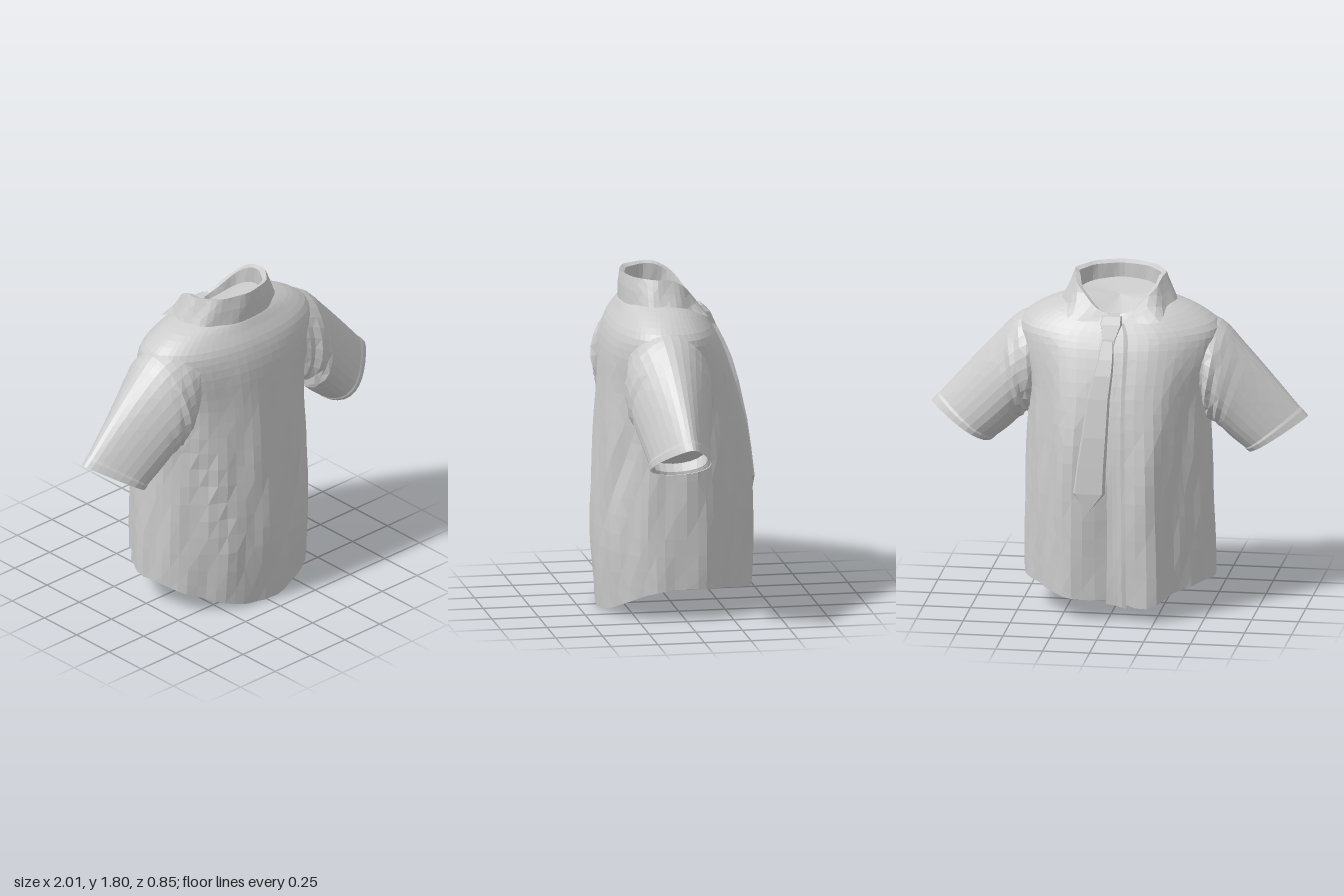
import * as THREE from 'three';

const TAU = Math.PI * 2;
const lerp = THREE.MathUtils.lerp;
const bump = (x, c, w) => Math.exp(-(((x - c) / w) ** 2));
const cloth = new THREE.MeshStandardMaterial({ color: 0xcccccc, flatShading: true, side: THREE.DoubleSide });

// Surface from f(u, v) -> [x, y, z] with u and v in 0..1
function grid(f, nu, nv, flip = false) {
  const pos = [], idx = [];
  for (let j = 0; j <= nv; j++)
    for (let i = 0; i <= nu; i++) pos.push(...f(i / nu, j / nv));
  for (let j = 0; j < nv; j++)
    for (let i = 0; i < nu; i++) {
      const a = j * (nu + 1) + i, b = a + 1, c = a + nu + 1, d = c + 1;
      // alternate the diagonals for a crumpled look
      const q = (i + j) % 2 ? [a, b, d, a, d, c] : [a, b, c, b, d, c];
      idx.push(...(flip ? q.reverse() : q));
    }
  const g = new THREE.BufferGeometry();
  g.setAttribute('position', new THREE.Float32BufferAttribute(pos, 3));
  g.setIndex(idx);
  g.computeVertexNormals();
  return g;
}

// Smooth interpolation between rows of section numbers
function sample(rows, v) {
  const s = v * (rows.length - 1), k = Math.min(Math.floor(s), rows.length - 2), t = s - k;
  const at = (i) => rows[Math.max(0, Math.min(rows.length - 1, i))];
  return rows[k].map((_, n) => {
    const [a, b, c, d] = [at(k - 1)[n], at(k)[n], at(k + 1)[n], at(k + 2)[n]];
    return b + 0.5 * t * (c - a + t * (2 * a - 5 * b + 4 * c - d + t * (3 * (b - c) + d - a)));
  });
}

// Body section: half width, centre z, back z, chest z, then y at the side, back and chest
function section([w, c, zb, zf, ys, yb, yf], t, p = 1) {
  const co = Math.cos(t), si = Math.sin(t);
  return [
    w * Math.sign(si) * Math.abs(si) ** p,
    lerp(ys, co > 0 ? yb : yf, co * co),
    c + Math.sign(co) * Math.abs(co) ** p * (co > 0 ? zb - c : c - zf),
  ];
}

const bodyRows = [
  [0.505, 0.0, 0.395, -0.395, 0.17, 0.0, 0.11],
  [0.505, 0.0, 0.42, -0.4, 0.35, 0.35, 0.35],
  [0.5, 0.0, 0.415, -0.4, 0.65, 0.65, 0.65],
  [0.49, 0.0, 0.4, -0.375, 0.95, 0.95, 0.95],
  [0.485, 0.03, 0.385, -0.33, 1.2, 1.2, 1.2],
  [0.53, 0.07, 0.37, -0.265, 1.4, 1.4, 1.4],
  [0.535, 0.08, 0.34, -0.215, 1.52, 1.52, 1.5],
  [0.43, 0.08, 0.295, -0.175, 1.605, 1.6, 1.56],
  [0.31, 0.07, 0.265, -0.155, 1.655, 1.65, 1.58],
  [0.23, 0.07, 0.24, -0.13, 1.675, 1.66, 1.58],
];

// Torso skin with chest lobes and drape folds; off pushes it outwards
function body(t, v, off = 0) {
  const co = Math.cos(t), si = Math.sin(t);
  // the right side of the back is pulled in more than the left
  const p = lerp(co > 0 && si < 0 ? 1.12 : 0.82, 1, v * v);
  const [x, y, z] = section(sample(bodyRows, v), t, p);
  const ax = Math.abs(x), front = Math.max(0, -co) ** 0.5;
  const amt = y < 0.8 ? 1 : bump(y, 0.8, 0.45);
  const dent = x < 0 ? 0.075 * bump(x, -0.42, 0.12) : 0.045 * bump(x, 0.41, 0.1);
  const lobes = 0.028 * bump(ax, 0.22, 0.08) - dent - 0.03 * bump(x, -0.01, 0.07);
  const crease = bump(ax, 0.15 + 0.36 * (y - 0.3), 0.05) * 0.02 * bump(y, 0.7, 0.35);
  const drape = 0.006 * Math.sin(t * 11 + y * 3) + 0.003 * Math.sin(t * 17 - y * 9);
  const d = off + amt * (drape + (co < 0 ? lobes * front : -crease));
  // one chest panel hangs lower at the hem
  const drop = 0.04 * bump(x, -0.17, 0.11) * front * (1 - v) ** 14;
  return [x + si * d - 0.012 * (1 - v), y - drop, z + co * d];
}

// Sleeve section: top x and y, bottom x and y, centre z, half depth
const sleeveRows = [
  [0.36, 1.6, 0.4, 1.06, 0.1, 0.2],
  [0.535, 1.54, 0.46, 1.02, 0.1, 0.228],
  [0.66, 1.42, 0.53, 0.97, 0.1, 0.205],
  [0.83, 1.235, 0.6, 0.905, 0.1, 0.17],
  [1.0, 1.04, 0.685, 0.84, 0.1, 0.14],
];
function sleeve(side, t, v, off = 0) {
  const [tx, ty, bx, by, zc, hz] = sample(sleeveRows, v);
  const co = Math.cos(t), si = Math.sin(t), k = 0.5 + 0.5 * co;
  // bunched folds around the armhole, strongest under the arm
  const d = off + 0.02 * bump(v, 0.25, 0.2) * (1 - k) * Math.sin(v * 40 + 5 * Math.abs(si) + side);
  return [
    side * (lerp(bx, tx, k) + co * d * 0.6),
    lerp(by, ty, k) + co * d * 0.5,
    zc - 0.04 * k * v + (hz + d) * si * (1 - 0.5 * v * co),
  ];
}

// Collar: stand inside, fold on top, fall outside
const collarRows = [
  [0.22, 0.07, 0.235, -0.11, 1.66, 1.66, 1.565],
  [0.215, 0.07, 0.24, -0.12, 1.78, 1.785, 1.6],
  [0.242, 0.07, 0.265, -0.14, 1.79, 1.8, 1.61],
  [0.272, 0.07, 0.272, -0.16, 1.72, 1.73, 1.585],
  [0.303, 0.07, 0.272, -0.175, 1.655, 1.645, 1.57],
];
function collar(u, v) {
  const t = lerp(-0.96, 0.96, u) * Math.PI;
  const s = v * 4, k = Math.min(3, Math.floor(s));
  const row = collarRows[k].map((a, n) => lerp(a, collarRows[k + 1][n], s - k));
  const [x, y, z] = section(row, t);
  // pointed tips of the fall
  const tip = bump(Math.abs(t), 0.8 * Math.PI, 0.24) * Math.max(0, v - 0.5) * 2;
  const wave = 0.005 * Math.sin(t * 9 + v * 4);
  return [x * (1 + 0.3 * tip) + Math.sin(t) * wave, y - 0.02 * tip, z - 0.035 * tip + Math.cos(t) * wave * 0.5];
}

// Flat strip from sections: centre x, y, z, half width, thickness
function strip(rows) {
  const corners = [[-1, 0], [-0.85, -1], [0.85, -1], [1, 0], [-1, 0]];
  return grid((u, v) => {
    const [x, y, z, w, th] = rows[Math.round(v * (rows.length - 1))];
    const [a, b] = corners[Math.round(u * 4)];
    return [x + a * w, y, z + b * th];
  }, 4, rows.length - 1);
}

// Fan that closes a ring
function cap(ring) {
  const c = [0, 0, 0];
  for (let i = 0; i < 24; i++) ring((i / 24) * TAU).forEach((n, k) => (c[k] += n / 24));
  return grid((u, v) => ring(u * TAU).map((n, k) => lerp(c[k], n, v)), 36, 1);
}

export function createModel() {
  const model = new THREE.Group();
  model.name = 'shirtWithTie';
  const add = (name, geometry) => {
    const mesh = new THREE.Mesh(geometry, cloth);
    mesh.name = name;
    model.add(mesh);
  };

  // Torso, hem facing and inner closures
  add('torso', grid((u, v) => body(u * TAU, v), 60, 27));
  add('hemFacing', grid((u, v) => body(u * TAU, v * 0.055, -0.016 * Math.min(1, v * 4)), 60, 4, true));
  add('hemLining', cap((t) => body(t, 0.055, -0.016)));
  add('neckLining', cap((t) => section([0.217, 0.07, 0.236, -0.114, 1.69, 1.71, 1.575], t)));

  // Button placket down the chest, hanging slightly below the hem
  add('placket', grid((u, v) => {
    const [x, y, z] = body(Math.PI + lerp(-0.02, 0.12, u), v * 0.95, u === 0 || u === 1 ? 0 : 0.008);
    return [x, y - 0.02 * (1 - v) ** 12, z];
  }, 4, 26));

  // Sleeves with turned cuffs
  for (const side of [1, -1]) {
    const n = side > 0 ? 'left' : 'right', flip = side < 0;
    add(n + 'Sleeve', grid((u, v) => sleeve(side, u * TAU, v), 28, 16, flip));
    add(n + 'Cuff', grid((u, v) => sleeve(side, u * TAU, lerp(0.92, 1, v), 0.005 * Math.min(1, v * 4)), 28, 4, flip));
    add(n + 'CuffFacing', grid((u, v) => sleeve(side, u * TAU, lerp(1, 0.82, v), -0.015 * Math.min(1, v * 4)), 28, 4, flip));
    add(n + 'SleeveLining', cap((t) => sleeve(side, t, 0.83, -0.014)));
  }

  add('collar', grid(collar, 44, 8, true));

  // Tie: knot and blade
  add('tieKnot', strip([
    [0.02, 1.46, -0.225, 0.035, 0.025], [0.015, 1.5, -0.205, 0.038, 0.032],
    [0.01, 1.57, -0.165, 0.06, 0.04], [0.01, 1.605, -0.135, 0.055, 0.03], [0.01, 1.61, -0.11, 0.04, 0.005],
  ]));
  add('tieBlade', strip([
    [0.1, 0.6, -0.405, 0.005, 0.015], [0.095, 0.7, -0.403, 0.085, 0.02], [0.085, 0.85, -0.388, 0.078, 0.02],
    [0.07, 1.0, -0.37, 0.07, 0.02], [0.055, 1.2, -0.33, 0.06, 0.02], [0.035, 1.32, -0.297, 0.05, 0.022],
    [0.025, 1.4, -0.265, 0.042, 0.022], [0.02, 1.49, -0.222, 0.032, 0.02],
  ]));
  return model;
}
